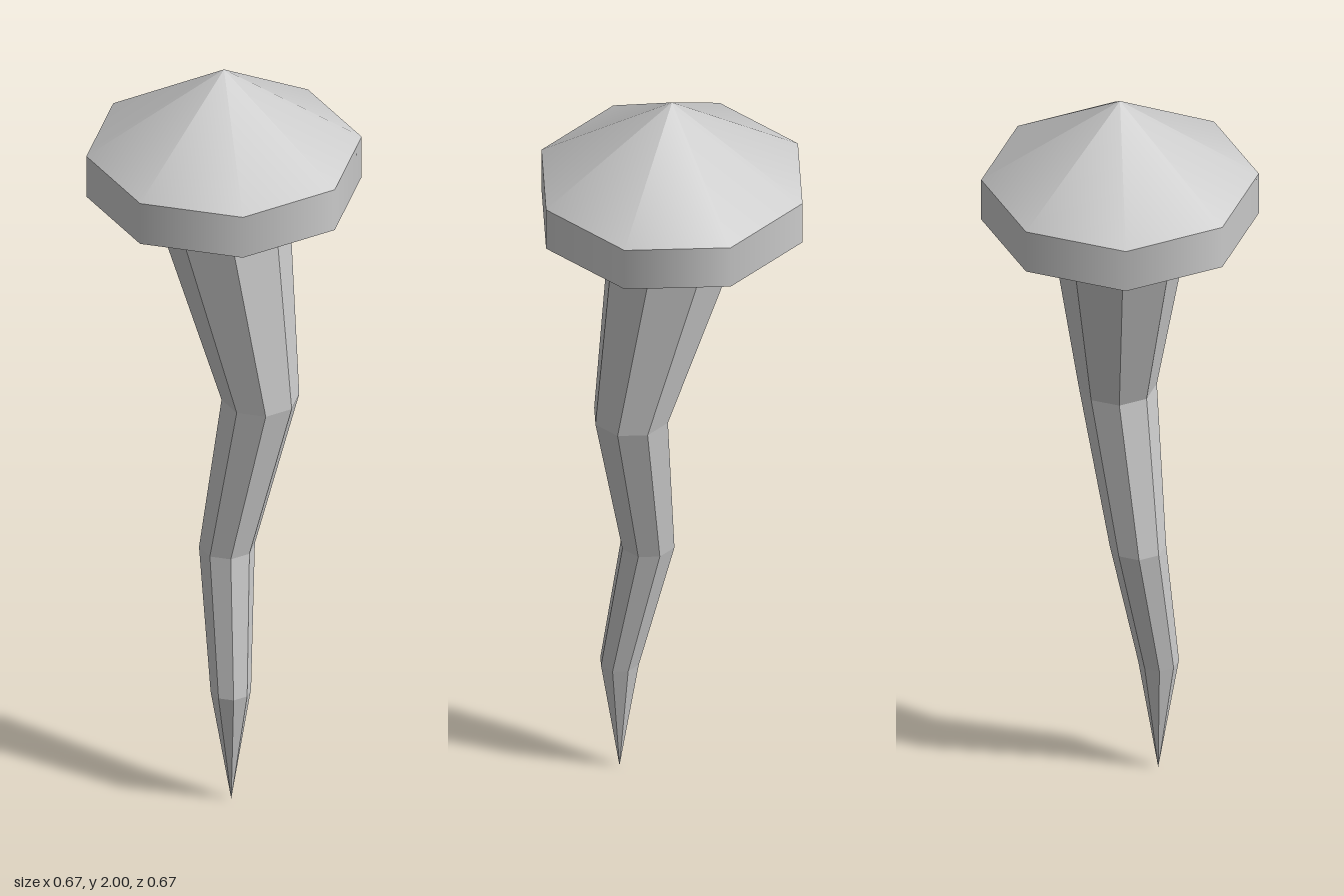
import * as THREE from 'three';

const SIDES = 8;
const TURN = THREE.MathUtils.degToRad(35.34); // rotation shared by every octagon

// Open eight-sided frustum between two heights
function frustum(name, rTop, rBottom, yTop, yBottom, flatShading) {
  const geo = new THREE.CylinderGeometry(rTop, rBottom, yTop - yBottom, SIDES, 1, true, TURN);
  geo.translate(0, (yTop + yBottom) / 2, 0);
  const mesh = new THREE.Mesh(geo, new THREE.MeshStandardMaterial({ color: 0xcccccc, flatShading }));
  mesh.name = name;
  return mesh;
}

// Crooked tapering shaft; each ring is [x, y, z, radius], top to tip
function crookedShaft(rings) {
  const rows = rings.length - 1;
  const geo = new THREE.CylinderGeometry(1, 0, 1, SIDES, rows, true);
  const { position, uv } = geo.attributes;
  for (let i = 0; i < position.count; i++) {
    const [x, y, z, r] = rings[Math.round((1 - uv.getY(i)) * rows)];
    const a = TURN + uv.getX(i) * Math.PI * 2;
    position.setXYZ(i, x + r * Math.sin(a), y, z + r * Math.cos(a));
  }
  geo.computeVertexNormals();
  const mesh = new THREE.Mesh(geo, new THREE.MeshStandardMaterial({ color: 0xcccccc, flatShading: true }));
  mesh.name = 'shaft';
  return mesh;
}

export function createModel() {
  const model = new THREE.Group();
  model.name = 'crookedNail';

  // Head: smooth cone and rim over a faceted underside
  const head = new THREE.Group();
  head.name = 'head';
  head.add(
    frustum('headCone', 0, 0.34, 2, 1.78, false),
    frustum('headRim', 0.34, 0.34, 1.78, 1.665, false),
    frustum('headUnderside', 0.34, 0.163, 1.665, 1.585, true)
  );

  // Bent spike
  const shaft = crookedShaft([
    [0, 1.585, 0, 0.163],
    [0.065, 1.105, 0.09, 0.096],
    [-0.012, 0.68, 0.062, 0.069],
    [-0.025, 0.31, 0.135, 0.05],
    [-0.024, 0, 0.135, 0],
  ]);

  model.add(head, shaft);
  return model;
}
